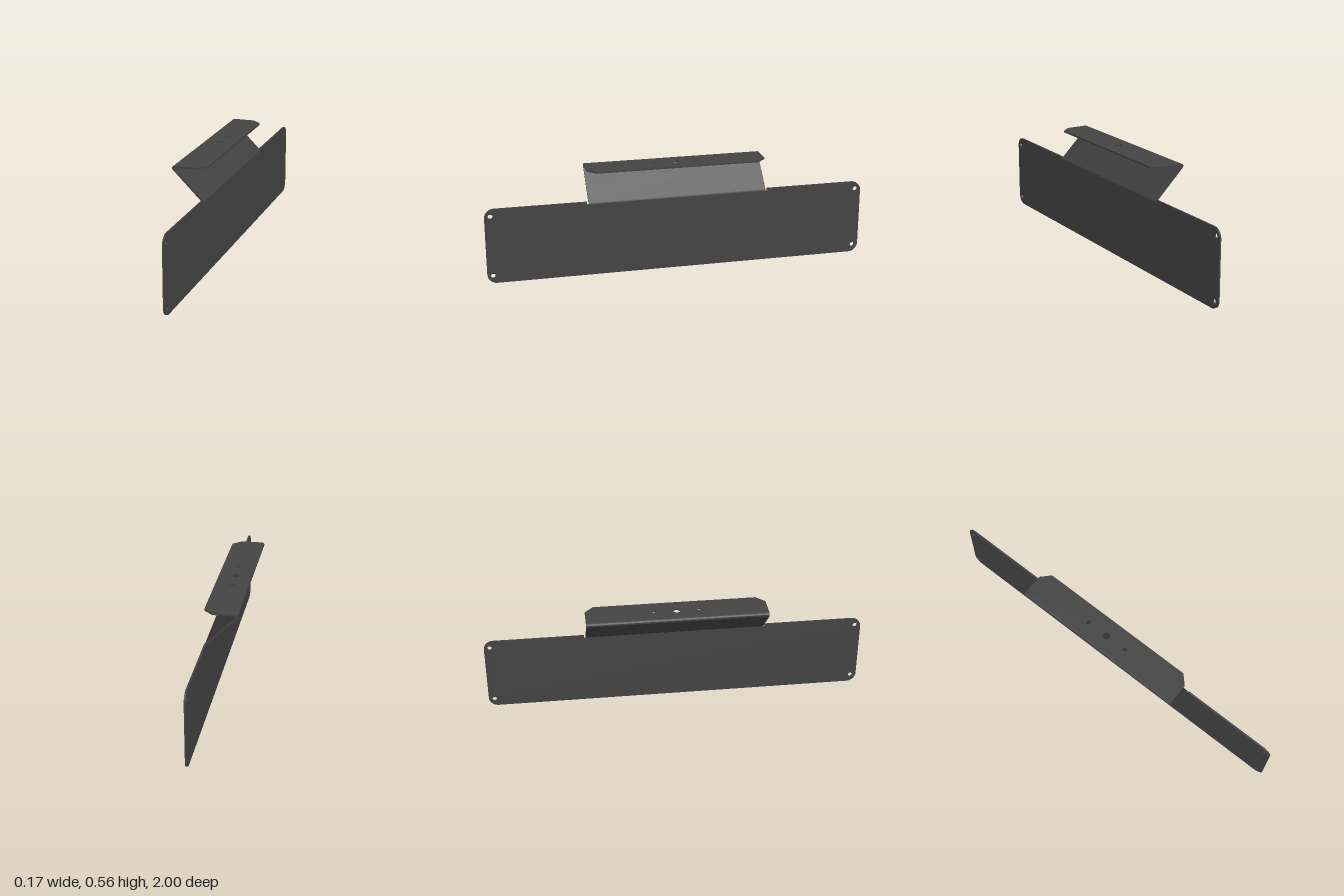
import * as THREE from 'three';
import { toCreasedNormals } from 'three/addons/utils/BufferGeometryUtils.js';

const T = 0.009;            // sheet thickness
const HALF = 0.47;          // half width of the bent bracket
const PLATE_X = 0.076;      // outer face of the plate
const TOP = 0.559;          // upper face of the flange
const BEND = { x: -0.074, y: 0.547, r: 0.012 };
const material = new THREE.MeshStandardMaterial({ color: 0x444444 });

function addHole(shape, x, y, r) {
  const hole = new THREE.Path();
  hole.absarc(x, y, r, 0, Math.PI * 2, true);
  shape.holes.push(hole);
}

function sheet(name, shape, depth) {
  const geometry = new THREE.ExtrudeGeometry(shape, { depth, bevelEnabled: false, curveSegments: 16 });
  const mesh = new THREE.Mesh(toCreasedNormals(geometry, 0.5), material);
  mesh.name = name;
  return mesh;
}

// Long upright plate with rounded corners, relief notches and corner holes (drawn in z, y)
function createPlate() {
  const r = 0.05, h = 0.4, low = 0.385, notch = HALF + 0.008;
  const s = new THREE.Shape();
  s.moveTo(-1 + r, 0);
  s.absarc(1 - r, r, r, -Math.PI / 2, 0);
  s.absarc(1 - r, h - r, r, 0, Math.PI / 2);
  s.lineTo(notch, h);
  s.lineTo(notch, low);
  s.lineTo(-notch, low);
  s.lineTo(-notch, h);
  s.absarc(-1 + r, h - r, r, Math.PI / 2, Math.PI);
  s.absarc(-1 + r, r, r, Math.PI, Math.PI * 1.5);
  for (const z of [-0.97, 0.97]) for (const y of [0.04, 0.36]) addHole(s, z, y, 0.012);
  const plate = sheet('plate', s, T);
  plate.rotation.y = -Math.PI / 2;
  plate.position.x = PLATE_X;
  return plate;
}

// Sloping web with the rounded upper bend and the lower bend into the plate (drawn in x, y)
function createWeb() {
  const { x, y, r } = BEND;
  const inner = r - T, c = Math.SQRT1_2;
  const s = new THREE.Shape();
  s.moveTo(x, y + r);
  s.absarc(x, y, r, Math.PI / 2, Math.PI * 1.25);
  s.lineTo(PLATE_X - T, y - r * c - (PLATE_X - T - x + r * c));
  s.lineTo(PLATE_X - T, 0.385);
  s.lineTo(PLATE_X, 0.385);
  s.lineTo(PLATE_X, 0.391);
  s.lineTo(PLATE_X - 0.002, y - inner * c - (PLATE_X - 0.002 - x + inner * c));
  s.absarc(x, y, inner, Math.PI * 1.25, Math.PI / 2, true);
  const web = sheet('web', s, HALF * 2);
  web.position.z = -HALF;
  return web;
}

// Top flange with clipped outer corners and three mounting holes (drawn in x, z)
function createFlange() {
  const s = new THREE.Shape();
  s.moveTo(BEND.x, -HALF);
  s.lineTo(0.038, -HALF);
  s.lineTo(0.085, -0.425);
  s.lineTo(0.085, 0.425);
  s.lineTo(0.038, HALF);
  s.lineTo(BEND.x, HALF);
  addHole(s, 0, 0, 0.019);
  for (const z of [-0.117, 0.117]) addHole(s, 0, z, 0.011);
  const flange = sheet('flange', s, T);
  flange.rotation.x = Math.PI / 2;
  flange.position.y = TOP;
  return flange;
}

export function createModel() {
  const group = new THREE.Group();
  group.name = 'mountingBracket';
  group.add(createPlate(), createWeb(), createFlange());
  return group;
}
